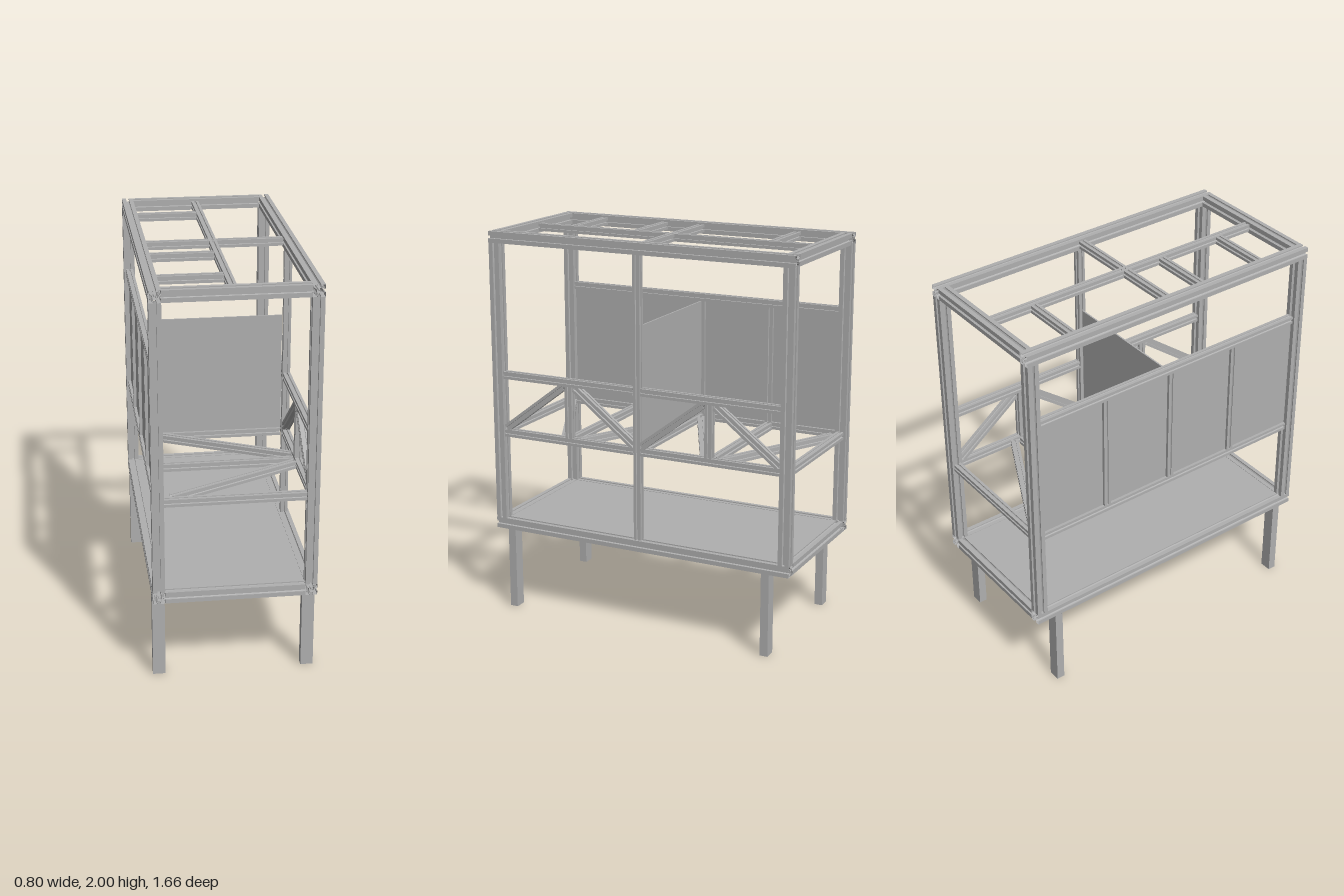
import * as THREE from 'three';

const metal = new THREE.MeshStandardMaterial({ color: 0xb0b0b0, side: THREE.DoubleSide });
metal.name = 'aluminium grey';

// Square T-slot section of width w: one slot in each side, round bore in the middle
function slotSection(w) {
  const h = w / 2, a = w * 0.13, b = w * 0.26, lip = w * 0.4, core = w * 0.22;
  const side = [[h, -h], [h, -a], [lip, -a], [lip, -b], [core, -a], [core, a], [lip, b], [lip, a], [h, a]];
  const points = [];
  for (let k = 0; k < 4; k++) {
    const c = Math.round(Math.cos(k * Math.PI / 2)), s = Math.round(Math.sin(k * Math.PI / 2));
    side.forEach(([x, y]) => points.push(new THREE.Vector2(x * c - y * s, x * s + y * c)));
  }
  const shape = new THREE.Shape(points);
  shape.holes.push(new THREE.Path().absarc(0, 0, w * 0.1, 0, Math.PI * 2, true));
  return shape;
}

// Square tube section with thin walls
function tubeSection(w, d, t) {
  const rect = (x, y) => [[-x, -y], [x, -y], [x, y], [-x, y]].map(p => new THREE.Vector2(...p));
  const shape = new THREE.Shape(rect(w / 2, d / 2));
  shape.holes.push(new THREE.Path(rect(w / 2 - t, d / 2 - t).reverse()));
  return shape;
}

// Extrusion with open ends, along +z
function openExtrusion(shape, length) {
  const geo = new THREE.ExtrudeGeometry(shape, { depth: length, bevelEnabled: false, curveSegments: 3 });
  const start = geo.groups[1].start;
  const open = new THREE.BufferGeometry();
  open.setAttribute('position', new THREE.BufferAttribute(geo.attributes.position.array.slice(start * 3), 3));
  open.computeVertexNormals();
  return open;
}

const THICK = 0.058, THIN = 0.038;
const sections = { [THICK]: slotSection(THICK), [THIN]: slotSection(THIN) };

export function createModel() {
  const model = new THREE.Group();
  model.name = 'machineFrame';

  const add = (name, geo) => {
    const mesh = new THREE.Mesh(geo, metal);
    mesh.name = name;
    model.add(mesh);
    return mesh;
  };
  // Slotted bar between two points
  const bar = (name, from, to, w = THIN) => {
    const a = new THREE.Vector3(...from), b = new THREE.Vector3(...to);
    const mesh = add(name, openExtrusion(sections[w], a.distanceTo(b)));
    mesh.position.copy(a);
    mesh.lookAt(b);
    return mesh;
  };
  const plate = (name, size, at) => add(name, new THREE.BoxGeometry(...size)).position.set(...at);

  const X = 0.37, Z = 0.8, LOW = 0.459, HIGH = 1.971, DECK = 0.953, TRUSS = 1.26, RAIL = 1.603;

  // Outer frame
  for (const y of [LOW, HIGH]) {
    for (const s of [-1, 1]) {
      bar('longRail', [s * X, y, -0.83], [s * X, y, 0.83], THICK);
      bar('endRail', [-0.341, y, s * Z], [0.341, y, s * Z], THICK);
    }
  }
  for (const sx of [-1, 1]) {
    for (const sz of [-1, 1]) bar('cornerPost', [sx * X, 0.488, sz * Z], [sx * X, 1.942, sz * Z], THICK);
  }

  // Legs
  for (const sx of [-1, 1]) {
    for (const z of [0.738, -0.706]) {
      const leg = add('leg', openExtrusion(tubeSection(0.062, 0.042, 0.004), 0.43));
      leg.rotation.x = -Math.PI / 2;
      leg.position.set(sx * 0.369, 0, z);
    }
  }

  // Roof bars
  bar('roofSpine', [-0.01, HIGH, -0.771], [-0.01, HIGH, 0.771]);
  bar('roofCrossbar', [-0.341, HIGH, 0], [0.341, HIGH, 0]);
  for (const z of [-0.54, 0.21, 0.57]) bar('roofShortBar', [-0.341, HIGH, z], [-0.03, HIGH, z]);

  // Floor, and zigzag bracing below it and at deck height
  plate('floor', [0.682, 0.008, 1.542], [0, 0.482, 0]);
  for (const y of [0.455, DECK]) {
    for (const z of [-0.4, 0, 0.395]) bar('deckCrossbar', [-0.341, y, z], [0.341, y, z]);
    for (const zc of [-0.4, 0.385]) {
      for (const s of [-1, 1]) bar('deckBrace', [-0.3, y, zc + s * 0.375], [0.345, y, zc + s * 0.05]);
    }
  }
  for (const s of [-1, 1]) bar('deckEndBar', [-0.341, DECK, s * Z], [0.341, DECK, s * Z]);

  // Open truss on the left side
  bar('middlePost', [X, 0.488, 0], [X, 1.942, 0]);
  for (const s of [-1, 1]) {
    for (const y of [DECK, TRUSS]) bar('trussRail', [X, y, s * 0.02], [X, y, s * 0.771]);
    const zc = s * 0.39;
    bar('trussUpright', [X, 0.972, zc], [X, 1.241, zc]);
    for (const d of [-1, 1]) bar('trussDiagonal', [X, 0.98, zc + d * 0.37], [X, 1.235, zc + d * 0.035]);
  }

  // Panelled wall on the right side
  for (const y of [DECK, RAIL]) bar('wallRail', [-X, y, -0.771], [-X, y, 0.771]);
  for (const z of [-0.39, 0, 0.388]) bar('wallDivider', [-X, 0.972, z], [-X, 1.584, z]);
  for (const z of [-0.58, -0.195, 0.195, 0.58]) plate('wallPanel', [0.008, 0.62, 0.38], [-X, 1.278, z]);

  // Partition across the middle
  plate('partition', [0.69, 0.615, 0.008], [0, 1.278, 0]);

  return model;
}
